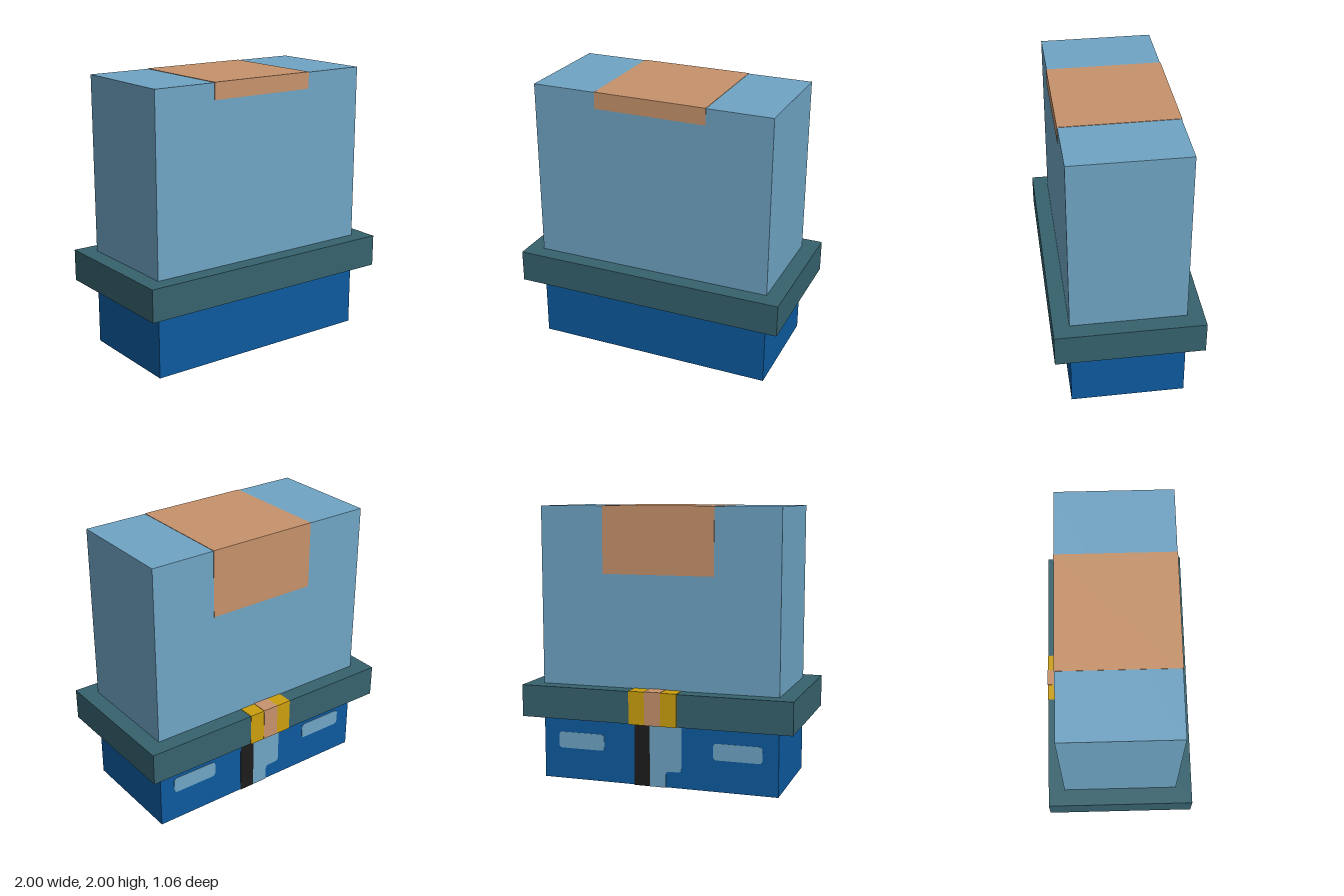
import * as THREE from 'three';

const mat = (name, color) => {
  const m = new THREE.MeshStandardMaterial({ color });
  m.name = name;
  return m;
};

export function createModel() {
  const paleBlue = mat('paleBlue', 0x6fa4c4);
  const teal = mat('teal', 0x36626e);
  const blue = mat('blue', 0x0d5a9e);
  const tan = mat('tan', 0xc7936c);
  const gold = mat('gold', 0xcb9f0e);
  const black = mat('black', 0x1c1c1c);

  const model = new THREE.Group();
  model.name = 'blockTorso';
  const T = 0.003; // thickness of painted plates
  const W = 0.88, D = 0.41; // half width and half depth of the body

  // Box given by its limits on each axis
  const box = (name, material, [x0, x1], [y0, y1], [z0, z1]) => {
    const mesh = new THREE.Mesh(new THREE.BoxGeometry(x1 - x0, y1 - y0, z1 - z0), material);
    mesh.position.set((x0 + x1) / 2, (y0 + y1) / 2, (z0 + z1) / 2);
    mesh.name = name;
    model.add(mesh);
  };

  // Thin shaped plate lying on the back face
  const backPlate = (name, material, shape) => {
    const geo = new THREE.ExtrudeGeometry(shape, { depth: T, bevelEnabled: false, curveSegments: 6 });
    const mesh = new THREE.Mesh(geo, material);
    mesh.position.z = -D - T;
    mesh.name = name;
    model.add(mesh);
  };

  // Main blocks
  box('upperBody', paleBlue, [-W, W], [0.6, 2 - T], [-D, D]);
  box('lowerBody', blue, [-W, W], [T, 0.6], [-D, D]);
  box('belt', teal, [-1, 1], [0.475, 0.708], [-0.527, 0.527]);

  // Tan patch folded over the top, longer on the back
  box('topPatch', tan, [-0.41, 0.41], [2 - T, 2], [-D - T, D + T]);
  box('frontPatch', tan, [-0.41, 0.41], [1.88, 2 - T], [D, D + T]);
  box('backPatch', tan, [-0.41, 0.41], [1.52, 2 - T], [-D - T, -D]);

  // Clasp wrapped around the back of the belt, with a tan stripe
  box('clasp', gold, [-0.177, 0.177], [0.475 - T, 0.708 + T], [-0.527 - T, -D]);
  box('claspStripe', tan, [-0.06, 0.06], [0.475, 0.708 + 2 * T], [-0.527 - 2 * T, -D]);

  // Dark stripe running down the back and under the edge
  box('darkStripe', black, [0.06, 0.177], [0, 0.475], [-D - T, -D]);
  box('darkStripeUnder', black, [0.06, 0.177], [0, T], [-D, -0.3]);

  // Pale flap beside it, stepped near the bottom with rounded corners
  const r = 0.03;
  const flap = new THREE.Shape();
  flap.moveTo(0.06, 0);
  flap.lineTo(0.06, 0.475);
  flap.lineTo(-0.177, 0.475);
  flap.lineTo(-0.177, 0.12 + r);
  flap.quadraticCurveTo(-0.177, 0.12, -0.177 + r, 0.12);
  flap.lineTo(-0.06 - r, 0.12);
  flap.quadraticCurveTo(-0.06, 0.12, -0.06, 0.12 - r);
  flap.lineTo(-0.06, 0);
  backPlate('paleFlap', paleBlue, flap);
  box('paleFlapUnder', paleBlue, [-0.06, 0.06], [0, T], [-D, -0.3]);

  // Rounded slots on both sides of the back
  for (const side of [-1, 1]) {
    const cx = side * 0.588, hw = 0.178, y0 = 0.232, y1 = 0.352;
    const s = new THREE.Shape();
    s.moveTo(cx - hw + r, y0);
    s.lineTo(cx + hw - r, y0);
    s.quadraticCurveTo(cx + hw, y0, cx + hw, y0 + r);
    s.lineTo(cx + hw, y1 - r);
    s.quadraticCurveTo(cx + hw, y1, cx + hw - r, y1);
    s.lineTo(cx - hw + r, y1);
    s.quadraticCurveTo(cx - hw, y1, cx - hw, y1 - r);
    s.lineTo(cx - hw, y0 + r);
    s.quadraticCurveTo(cx - hw, y0, cx - hw + r, y0);
    backPlate(side > 0 ? 'leftSlot' : 'rightSlot', paleBlue, s);
  }

  return model;
}
